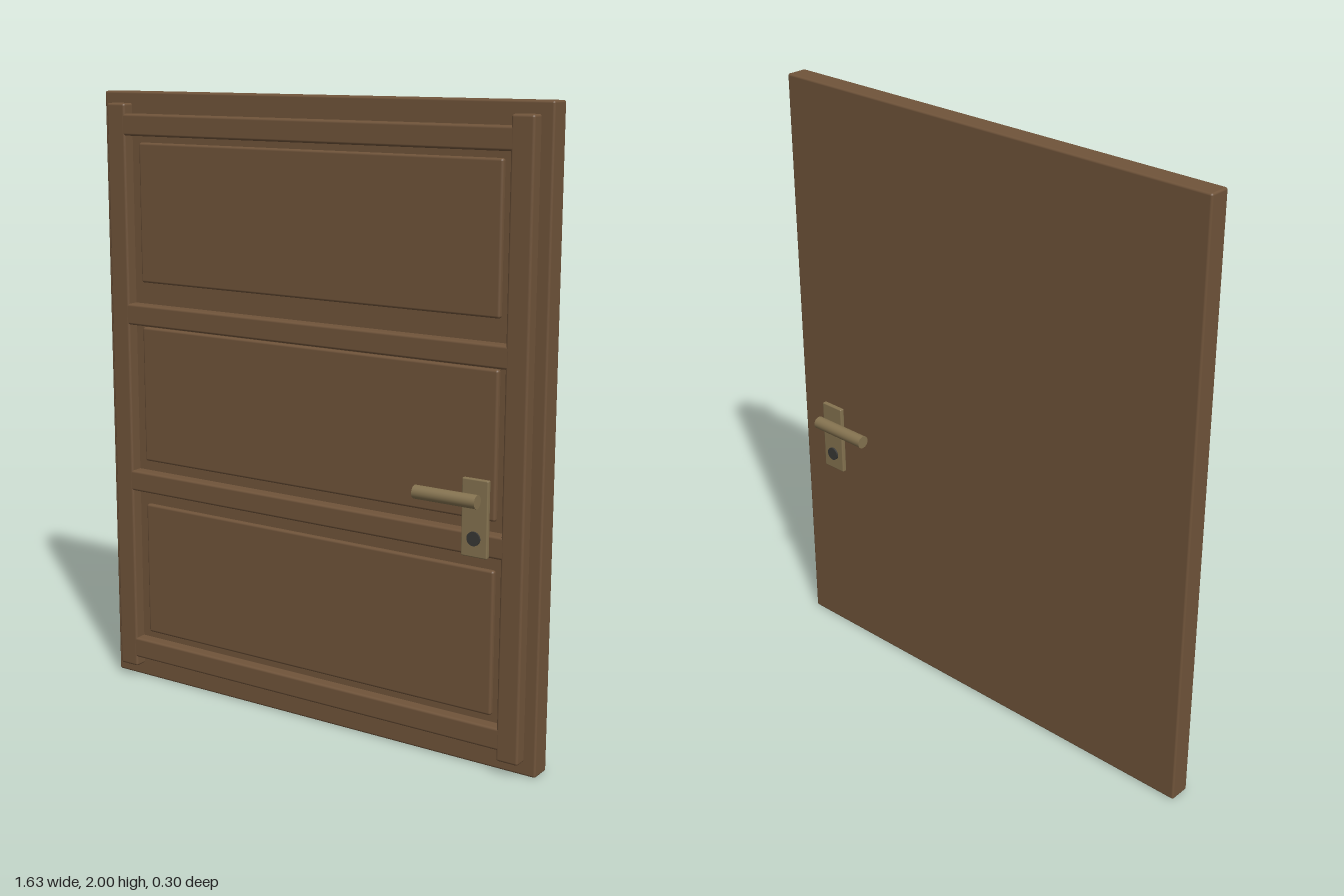
import * as THREE from 'three';
import { RoundedBoxGeometry } from 'three/addons/geometries/RoundedBoxGeometry.js';

const wood = new THREE.MeshStandardMaterial({ color: 0x70543a });
const brass = new THREE.MeshStandardMaterial({ color: 0x857350 });
const dark = new THREE.MeshStandardMaterial({ color: 0x383836 });

// Soft-edged box given by its lower and upper corners
function block(name, material, [x0, y0, z0], [x1, y1, z1], radius) {
  const geometry = new RoundedBoxGeometry(x1 - x0, y1 - y0, z1 - z0, 2, radius);
  const mesh = new THREE.Mesh(geometry, material);
  mesh.name = name;
  mesh.position.set((x0 + x1) / 2, (y0 + y1) / 2, (z0 + z1) / 2);
  return mesh;
}

// Plate, lever and key cylinder for one face of the door
function handleSet(side) {
  const group = new THREE.Group();
  group.name = side > 0 ? 'frontHandle' : 'backHandle';

  const plate = block('handlePlate', brass, [0.578, 0.673, -0.008], [0.666, 0.911, 0.008], 0.004);
  plate.position.z = side * 0.085;

  const lever = new THREE.Mesh(new THREE.CylinderGeometry(0.021, 0.021, 0.212, 24), brass);
  lever.name = 'lever';
  lever.rotation.z = Math.PI / 2;
  lever.position.set(0.544, 0.854, side * 0.127);

  const lock = new THREE.Mesh(new THREE.CylinderGeometry(0.022, 0.022, 0.016, 24), dark);
  lock.name = 'keyCylinder';
  lock.rotation.x = Math.PI / 2;
  lock.position.set(0.622, 0.731, side * 0.091);

  group.add(plate, lever, lock);
  return group;
}

export function createModel() {
  const door = new THREE.Group();
  door.name = 'door';

  // Main slab
  door.add(block('slab', wood, [-0.816, 0, -0.036], [0.816, 2, 0.036], 0.007));

  // Upright stiles
  for (const s of [-1, 1]) {
    const stile = block('stile', wood, [0.702, 0.043, 0.02], [0.776, 1.963, 0.076], 0.008);
    stile.position.x *= s;
    door.add(stile);
  }

  // Cross rails, their ends let into the stiles
  for (const y of [0.112, 0.708, 1.276, 1.895]) {
    door.add(block('rail', wood, [-0.73, y - 0.035, 0.02], [0.73, y + 0.035, 0.0755], 0.008));
  }

  // Raised panels between the rails
  for (const y of [0.398, 1.005, 1.61]) {
    door.add(block('panel', wood, [-0.667, y - 0.228, 0.02], [0.667, y + 0.228, 0.05], 0.008));
  }

  door.add(handleSet(1), handleSet(-1));
  return door;
}
